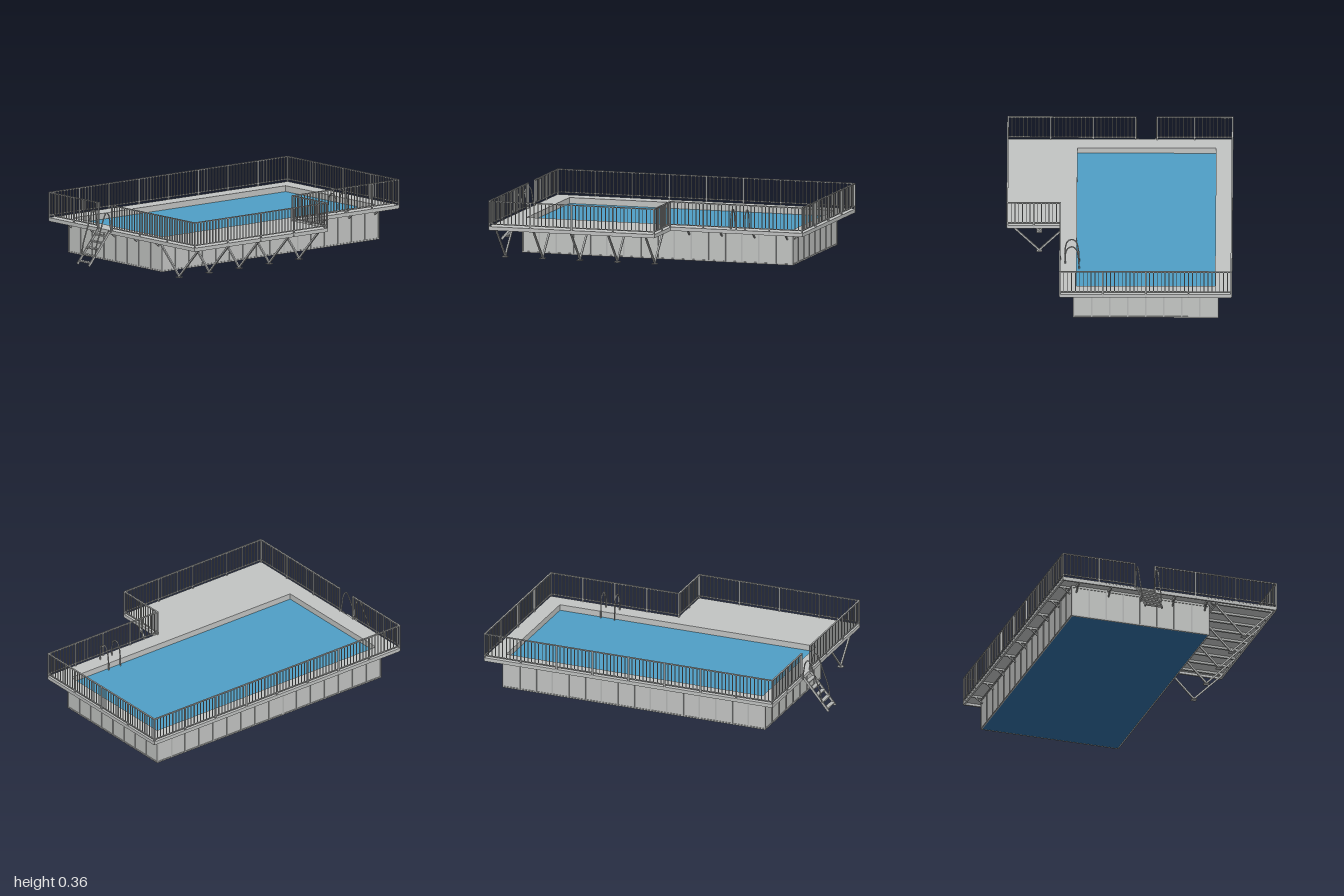
import * as THREE from 'three';
import { mergeGeometries } from 'three/addons/utils/BufferGeometryUtils.js';

const material = (name, color) => {
  const m = new THREE.MeshStandardMaterial({ color });
  m.name = name;
  return m;
};

export function createModel() {
  const group = new THREE.Group();
  const deckGrey = material('deck grey', 0xc2c4c3);
  const panelGrey = material('wall panel grey', 0xc4c6c4);
  const steel = material('steel grey', 0xb4b6b5);
  const water = material('water blue', 0x4f9fc6);
  const liner = material('pool floor blue', 0x2f6ca0);

  const add = (name, parts, mat) => {
    const mesh = new THREE.Mesh(Array.isArray(parts) ? mergeGeometries(parts) : parts, mat);
    mesh.name = name;
    group.add(mesh);
  };
  // Box given by its lower and upper corners
  const box = (x0, y0, z0, x1, y1, z1) =>
    new THREE.BoxGeometry(x1 - x0, y1 - y0, z1 - z0).translate((x0 + x1) / 2, (y0 + y1) / 2, (z0 + z1) / 2);
  // Square-section bar between two points
  const bar = (a, b, w = 0.008, h = w) => {
    const from = new THREE.Vector3(...a), to = new THREE.Vector3(...b);
    const o = new THREE.Object3D();
    o.position.copy(from).add(to).multiplyScalar(0.5);
    o.lookAt(to);
    o.updateMatrix();
    return new THREE.BoxGeometry(w, h, from.distanceTo(to)).applyMatrix4(o.matrix);
  };
  const tube = (points, r = 0.004) => new THREE.TubeGeometry(
    new THREE.CatmullRomCurve3(points.map(p => new THREE.Vector3(...p))), 32, r, 8);

  // Deck: L-shaped slab with the pool opening
  const outline = [[-0.66, 0.83], [0.66, 0.83], [0.66, -0.19], [0.35, -0.19], [0.35, -1], [-0.66, -1]];
  const hole = [[-0.56, 0.725], [0.25, 0.725], [0.25, -0.9], [-0.56, -0.9]];
  const toPoints = list => list.map(([x, z]) => new THREE.Vector2(x, -z));
  const shape = new THREE.Shape(toPoints(outline));
  shape.holes.push(new THREE.Path(toPoints(hole)));
  add('deck', new THREE.ExtrudeGeometry(shape, { depth: 0.008, bevelEnabled: false })
    .rotateX(-Math.PI / 2).translate(0, 0.197, 0), deckGrey);

  // Edge beams around the deck
  const inset = [[-0.654, 0.824], [0.654, 0.824], [0.654, -0.184], [0.344, -0.184], [0.344, -0.994], [-0.654, -0.994]];
  add('deckFascia', inset.map(([x, z], i) => {
    const [u, v] = inset[(i + 1) % 6];
    return bar([x, 0.1925, z], [u, 0.1925, v], 0.011, 0.019);
  }), deckGrey);

  // Pool walls, ribs, floor and water
  const X0 = -0.58, X1 = 0.27, Z0 = -0.915, Z1 = 0.75;
  add('poolWalls', [
    box(X0 + 0.004, 0.004, Z0 + 0.004, -0.56, 0.197, Z1 - 0.004),
    box(0.25, 0.004, Z0 + 0.004, X1 - 0.004, 0.197, Z1 - 0.004),
    box(-0.56, 0.004, Z0 + 0.004, 0.25, 0.197, -0.9),
    box(-0.56, 0.004, 0.725, 0.25, 0.197, Z1 - 0.004),
  ], panelGrey);
  const ribs = [];
  for (let i = 0; i <= 8; i++) {
    const x = X0 + 0.004 + (X1 - X0 - 0.008) * i / 8;
    for (const z of [Z0 + 0.004, Z1 - 0.004]) ribs.push(box(x - 0.004, 0, z - 0.004, x + 0.004, 0.19, z + 0.004));
  }
  for (let i = 1; i < 16; i++) {
    const z = Z0 + 0.004 + (Z1 - Z0 - 0.008) * i / 16;
    for (const x of [X0 + 0.004, X1 - 0.004]) ribs.push(box(x - 0.004, 0, z - 0.004, x + 0.004, 0.19, z + 0.004));
  }
  for (const y of [0, 0.182]) {
    for (const z of [Z0, Z1 - 0.008]) ribs.push(box(X0, y, z, X1, y + 0.008, z + 0.008));
    for (const x of [X0, X1 - 0.008]) ribs.push(box(x, y, Z0, x + 0.008, y + 0.008, Z1));
  }
  add('wallRibs', ribs, steel);
  add('poolFloor', box(X0 + 0.008, 0.001, Z0 + 0.008, X1 - 0.008, 0.006, Z1 - 0.008), liner);
  add('water', box(-0.56, 0.165, -0.9, 0.25, 0.17, 0.725), water);

  // Cantilever brackets under the narrow walkways
  const brackets = [];
  const bracket = (x, z, dx, dz, reach) => brackets.push(
    bar([x, 0.19, z], [x + dx * reach, 0.19, z + dz * reach], 0.008, 0.012),
    bar([x, 0.153, z], [x + dx * 0.045, 0.186, z + dz * 0.045], 0.007));
  for (let i = 0; i < 9; i++) {
    const z = -0.88 + i * 0.2;
    bracket(X0, z, -1, 0, 0.07);
    if (z < -0.2) bracket(X1, z, 1, 0, 0.07);
  }
  for (let i = 0; i < 5; i++) {
    const x = -0.55 + i * 0.1975;
    bracket(x, Z1, 0, 1, 0.07);
    bracket(x, Z0, 0, -1, 0.075);
  }
  add('walkwayBrackets', brackets, steel);

  // Joists and V-shaped legs under the wide platform
  const joists = [], legs = [];
  for (let i = 0; i < 9; i++) {
    const z = 0.787 - i * 0.1147;
    joists.push(box(X1, 0.184, z - 0.007, 0.65, 0.197, z + 0.007));
    if (i % 2) continue;
    legs.push(
      bar([0.295, 0.186, z], [0.47, 0.008, z], 0.01),
      bar([0.645, 0.186, z], [0.47, 0.008, z], 0.01),
      box(0.454, 0, z - 0.016, 0.486, 0.005, z + 0.016));
  }
  joists.push(box(0.29, 0.183, -0.18, 0.302, 0.195, 0.82));
  add('platformJoists', joists, steel);
  add('platformLegs', legs, steel);

  // Railing runs: [start, end, bays], leaving a gate at the front steps
  const runs = [
    [[-0.656, 0.826], [-0.215, 0.826], 2], [[-0.09, 0.826], [0.656, 0.826], 3],
    [[0.656, 0.826], [0.656, -0.186], 4], [[0.656, -0.186], [0.346, -0.186], 2],
    [[0.346, -0.186], [0.346, -0.996], 4], [[0.346, -0.996], [-0.656, -0.996], 4],
    [[-0.656, -0.996], [-0.656, 0.826], 8],
  ];
  const rails = [], posts = [], balusters = [];
  for (const [[ax, az], [bx, bz], bays] of runs) {
    rails.push(bar([ax, 0.354, az], [bx, 0.354, bz], 0.009, 0.006), bar([ax, 0.22, az], [bx, 0.22, bz], 0.006));
    const perBay = Math.round(Math.hypot(bx - ax, bz - az) / bays / 0.023);
    for (let i = 0; i <= bays * perBay; i++) {
      const t = i / (bays * perBay), x = ax + (bx - ax) * t, z = az + (bz - az) * t;
      if (i % perBay === 0) posts.push(box(x - 0.004, 0.186, z - 0.004, x + 0.004, 0.357, z + 0.004));
      else balusters.push(box(x - 0.0022, 0.22, z - 0.0022, x + 0.0022, 0.353, z + 0.0022));
    }
  }
  add('rails', rails, steel);
  add('railPosts', posts, steel);
  add('balusters', balusters, steel);

  // Sloping entry steps with curved handrails
  const steps = [], handrails = [];
  for (const x of [-0.205, -0.102]) {
    steps.push(bar([x, 0.2, 0.836], [x, 0.012, 0.994], 0.006, 0.014));
    const hx = x < -0.15 ? x - 0.008 : x + 0.008;
    handrails.push(tube([[hx, 0.065, 0.953], [hx, 0.12, 0.945], [hx, 0.22, 0.91], [hx, 0.29, 0.885],
      [hx, 0.317, 0.868], [hx, 0.302, 0.851], [hx, 0.25, 0.84], [hx, 0.195, 0.832]]));
  }
  for (let i = 0; i < 5; i++) {
    const y = 0.174 - i * 0.036, z = 0.858 + i * 0.0303;
    steps.push(box(-0.203, y - 0.004, z - 0.013, -0.104, y + 0.004, z + 0.013));
  }
  add('entrySteps', steps, steel);
  add('stepHandrails', handrails, steel);

  // Arched grab rails leading into the water
  add('poolGrabRails', [-0.635, -0.548].map(z => tube([[0.315, 0.2, z], [0.315, 0.265, z], [0.302, 0.303, z],
    [0.277, 0.316, z], [0.253, 0.3, z], [0.24, 0.25, z], [0.234, 0.16, z]])), steel);

  return group;
}
